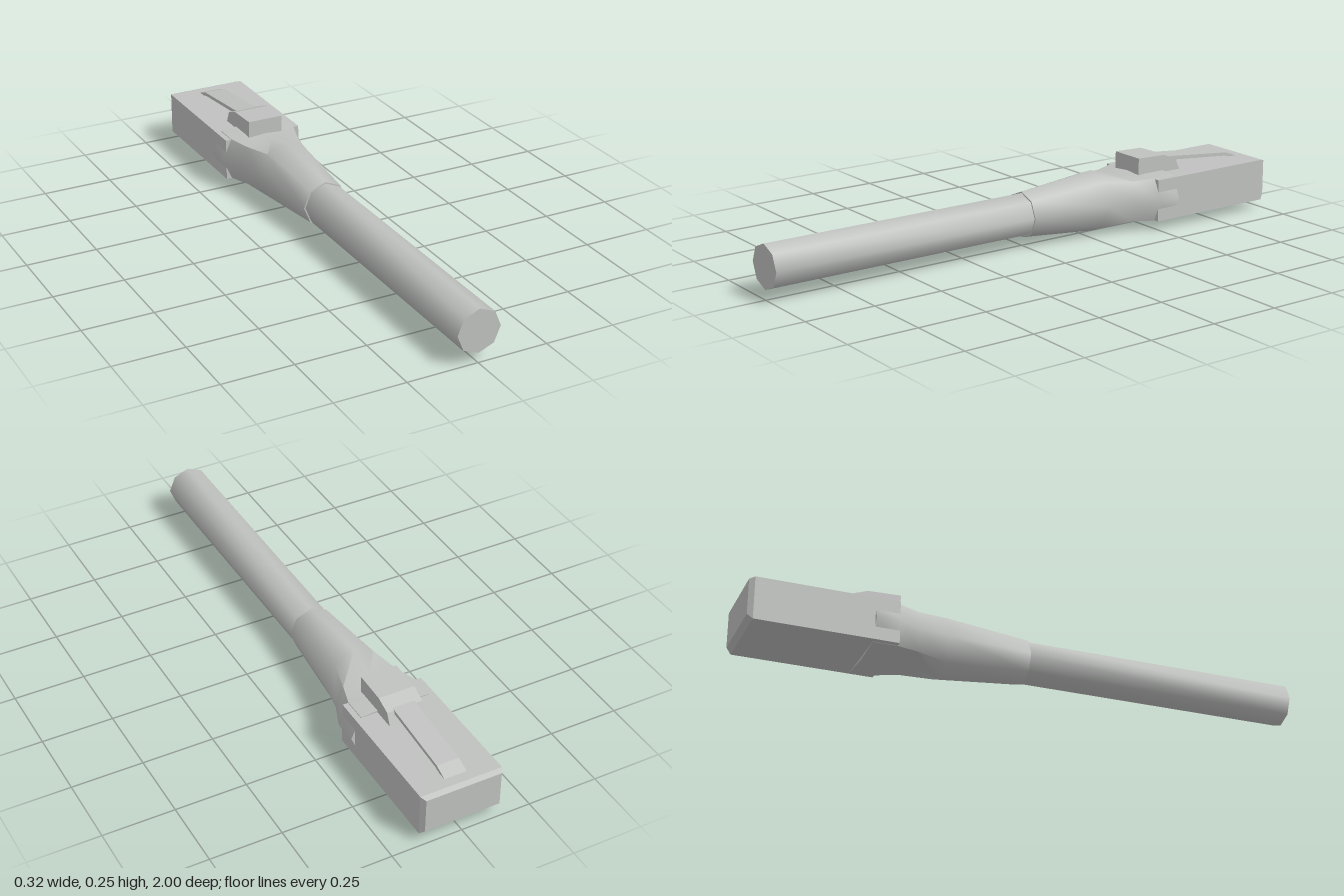
import * as THREE from 'three';
import { toCreasedNormals } from 'three/addons/utils/BufferGeometryUtils.js';

const CY = 0.113; // height of the cable axis

// Skin a list of rings (counter-clockwise, ordered from +z to -z) and cap both ends.
function loft(rings, crease) {
  const n = rings[0].length, last = (rings.length - 1) * n, index = [];
  for (let i = 0; i < rings.length - 1; i++) {
    for (let j = 0; j < n; j++) {
      const a = i * n + j, b = i * n + (j + 1) % n;
      index.push(a, a + n, b, b, a + n, b + n);
    }
  }
  for (let j = 1; j < n - 1; j++) {
    index.push(0, j, j + 1, last, last + j + 1, last + j);
  }
  const geometry = new THREE.BufferGeometry();
  geometry.setAttribute('position', new THREE.Float32BufferAttribute(rings.flat(2), 3));
  geometry.setIndex(index);
  return toCreasedNormals(geometry, crease);
}

// Eight-sided section: side reach, diagonal corner and top reach.
function octagon([z, side, dx, dy, top]) {
  return [[side, 0], [dx, dy], [0, top], [-dx, dy], [-side, 0], [-dx, -dy], [0, -top], [dx, -dy]]
    .map(([x, y]) => [x, CY + y, z]);
}

function rectangle([z, x, y0, y1]) {
  return [[x, y0, z], [x, y1, z], [-x, y1, z], [-x, y0, z]];
}

// Side profile as [z, y] pairs, extruded across the width.
function sideProfile(points, width) {
  const shape = new THREE.Shape(points.map(([z, y]) => new THREE.Vector2(-z, y)));
  const geometry = new THREE.ExtrudeGeometry(shape, { depth: width, bevelEnabled: false });
  return geometry.translate(0, 0, -width / 2).rotateY(Math.PI / 2);
}

export function createModel() {
  const group = new THREE.Group();
  group.name = 'networkCable';
  const grey = new THREE.MeshStandardMaterial({ color: 0xbfc1bf });
  grey.name = 'plainGrey';

  const add = (name, geometry) => {
    const mesh = new THREE.Mesh(geometry, grey);
    mesh.name = name;
    group.add(mesh);
  };

  // Round cable
  const r = 0.077, d = r * Math.SQRT1_2;
  add('cable', loft([[1, r, d, d, r], [-0.05, r, d, d, r]].map(octagon), 1));

  // Strain relief boot, flaring into the plug
  add('boot', loft([
    [0, 0.082, 0.058, 0.058, 0.082],
    [-0.3, 0.107, 0.073, 0.082, 0.111],
    [-0.41, 0.127, 0.1, 0.073, 0.082],
    [-0.49, 0.16, 0.125, 0.077, 0.087],
    [-0.575, 0.16, 0.125, 0.077, 0.087],
  ].map(octagon), 1));

  // Plug body with a chamfered nose
  add('plugBody', loft([
    [-0.49, 0.146, 0.037, 0.188],
    [-0.982, 0.146, 0.037, 0.188],
    [-1, 0.135, 0.055, 0.181],
  ].map(rectangle), 0.3));

  // Raised block holding the latch
  add('latchBlock', sideProfile([
    [-0.465, 0.185], [-0.655, 0.185], [-0.635, 0.23], [-0.58, 0.25], [-0.465, 0.254],
  ], 0.13));

  // Sloping latch tongue
  add('latchTongue', sideProfile([
    [-0.6, 0.222], [-0.89, 0.195], [-0.93, 0.185], [-0.95, 0.187], [-0.9, 0.206], [-0.6, 0.236],
  ], 0.08));

  return group;
}
